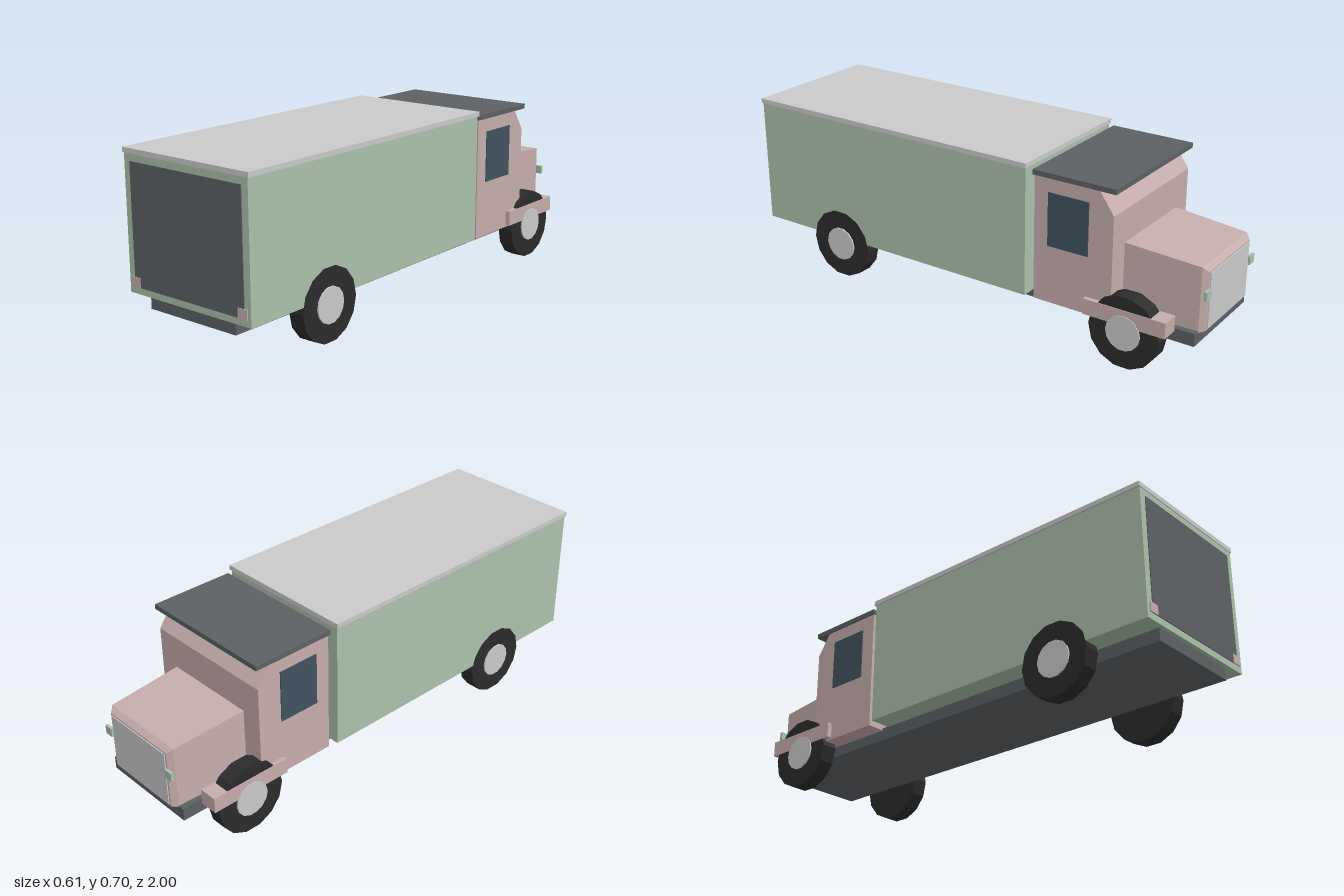
import * as THREE from 'three';

const mat = (name, color) => {
  const m = new THREE.MeshStandardMaterial({ color });
  m.name = name;
  return m;
};

export function createModel() {
  const green = mat('paleGreen', 0xabc0ab);
  const pink = mat('dustyPink', 0xc6adad);
  const dark = mat('slateGrey', 0x5d6164);
  const light = mat('lightGrey', 0xcacaca);
  const rubber = mat('rubber', 0x2b2b2b);
  const glass = mat('glass', 0x42525f);

  const truck = new THREE.Group();
  truck.name = 'boxTruck';

  const add = (name, geometry, material) => {
    const mesh = new THREE.Mesh(geometry, material);
    mesh.name = name;
    truck.add(mesh);
    return mesh;
  };
  // Box given by its limits on each axis
  const box = (x0, x1, y0, y1, z0, z1) =>
    new THREE.BoxGeometry(x1 - x0, y1 - y0, z1 - z0)
      .translate((x0 + x1) / 2, (y0 + y1) / 2, (z0 + z1) / 2);
  // Box whose -z end has its own half width, bottom and top
  const taper = (rear, front, z0, z1) => {
    const g = new THREE.BoxGeometry(2, 1, 1).toNonIndexed();
    const p = g.attributes.position;
    for (let i = 0; i < p.count; i++) {
      const isFront = p.getZ(i) < 0;
      const [w, bottom, top] = isFront ? front : rear;
      p.setXYZ(i, Math.sign(p.getX(i)) * w, p.getY(i) > 0 ? top : bottom, isFront ? z0 : z1);
    }
    g.computeVertexNormals();
    return g;
  };

  // Chassis and cargo body
  add('chassis', box(-0.209, 0.209, 0.118, 0.169, -0.97, 0.98), dark);
  add('cargoBox', box(-0.297, 0.297, 0.167, 0.677, -0.31, 0.995), green);
  add('cargoRoof', box(-0.303, 0.303, 0.677, 0.696, -0.315, 0.998), light);
  add('rearDoor', box(-0.268, 0.268, 0.193, 0.65, 0.992, 0.998), dark);

  // Cab extruded from its side profile, with a sloped windscreen face
  const profile = new THREE.Shape([
    [0.34, 0.16], [0.67, 0.16], [0.67, 0.57], [0.61, 0.656], [0.34, 0.656],
  ].map(([z, y]) => new THREE.Vector2(z, y)));
  const cab = new THREE.ExtrudeGeometry(profile, { depth: 0.564, bevelEnabled: false });
  cab.translate(0, 0, -0.282).rotateY(Math.PI / 2);
  add('cab', cab, pink);
  add('cabRoof', box(-0.288, 0.288, 0.655, 0.675, -0.68, -0.335), dark);

  // Hood, chamfered nose and grille
  add('hood', taper([0.196, 0.163, 0.44], [0.182, 0.163, 0.418], -0.97, -0.665), pink);
  add('nose', taper([0.182, 0.163, 0.418], [0.165, 0.168, 0.40], -0.99, -0.97), pink);
  add('grille', box(-0.157, 0.157, 0.174, 0.394, -0.994, -0.988), light);

  // Mirrored parts and wheels
  for (const s of [-1, 1]) {
    const side = s > 0 ? 'left' : 'right';
    const pair = (x0, x1, ...rest) => box(Math.min(s * x0, s * x1), Math.max(s * x0, s * x1), ...rest);
    add(side + 'CabWindow', pair(0.28, 0.286, 0.39, 0.60, -0.57, -0.40), glass);
    add(side + 'FrontFender', pair(0.227, 0.301, 0.168, 0.23, -0.90, -0.565), pink);
    add(side + 'FrontLamp', pair(0.16, 0.197, 0.30, 0.335, -1.0, -0.988), green);
    add(side + 'TailLamp', pair(0.24, 0.283, 0.193, 0.23, 0.99, 1.0), pink);

    for (const [end, z] of [['Front', -0.733], ['Rear', 0.6]]) {
      const wheel = new THREE.Group();
      wheel.name = side + end + 'Wheel';
      wheel.position.set(s * 0.2655, 0.14, z);
      const tyre = new THREE.Mesh(
        new THREE.CylinderGeometry(0.1436, 0.1436, 0.065, 14).toNonIndexed().rotateZ(Math.PI / 2), rubber);
      tyre.geometry.computeVertexNormals();
      tyre.name = 'tyre';
      const hub = new THREE.Mesh(
        new THREE.CylinderGeometry(0.07, 0.07, 0.03, 14).rotateZ(Math.PI / 2), light);
      hub.name = 'hub';
      hub.position.x = s * 0.0235;
      wheel.add(tyre, hub);
      truck.add(wheel);
    }
  }
  return truck;
}
